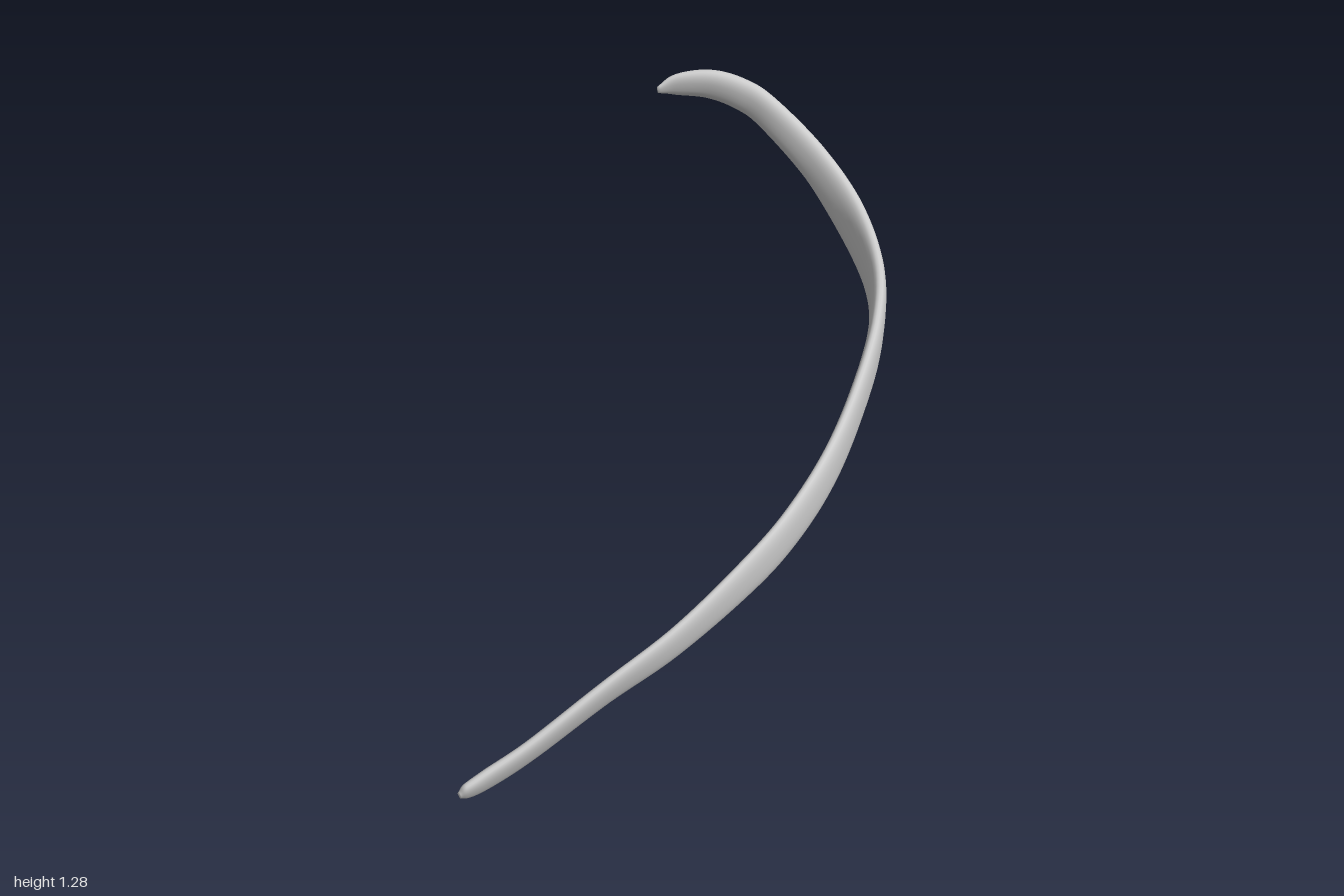
import * as THREE from 'three';

// Stations along the bone: x, y, z, blade width, thickness, outward lean of the upper edge
const STATIONS = [
  [-0.688, 1.225, -0.712, 0.024, 0.012, -0.3],
  [-0.662, 1.237, -0.77, 0.078, 0.036, -0.3],
  [-0.59, 1.24, -0.85, 0.102, 0.056, -0.25],
  [-0.5, 1.218, -0.905, 0.108, 0.062, -0.1],
  [-0.4, 1.173, -0.936, 0.112, 0.06, 0],
  [-0.2, 1.043, -0.966, 0.125, 0.058, 0.1],
  [0, 0.91, -0.938, 0.153, 0.054, 0.1],
  [0.2, 0.82, -0.825, 0.152, 0.05, 0.05],
  [0.37, 0.755, -0.64, 0.15, 0.046, 0],
  [0.51, 0.672, -0.41, 0.148, 0.044, 0],
  [0.605, 0.587, -0.2, 0.146, 0.042, 0],
  [0.655, 0.503, 0, 0.142, 0.04, 0.05],
  [0.664, 0.425, 0.18, 0.133, 0.038, 0.12],
  [0.645, 0.325, 0.4, 0.12, 0.036, 0.25],
  [0.595, 0.23, 0.6, 0.112, 0.036, 0.4],
  [0.54, 0.118, 0.8, 0.104, 0.036, 0.45],
  [0.503, 0.062, 0.92, 0.098, 0.036, 0.45],
  [0.49, 0.046, 0.975, 0.075, 0.03, 0.45],
  [0.486, 0.04, 0.998, 0.024, 0.014, 0.45],
];
const RINGS = 144, SIDES = 24;

function createRibGeometry() {
  const path = new THREE.CatmullRomCurve3(
    STATIONS.map(s => new THREE.Vector3(s[0], s[1], s[2])), false, 'catmullrom', 0.5);
  const section = new THREE.CatmullRomCurve3(
    STATIONS.map(s => new THREE.Vector3(s[3], s[4], s[5])), false, 'catmullrom', 0.5);
  const positions = [], index = [];
  const yAxis = new THREE.Vector3(0, 1, 0);

  // Flattened oval rings, a little fuller than an ellipse
  const round = v => Math.sign(v) * Math.abs(v) ** 0.85;
  for (let i = 0; i <= RINGS; i++) {
    const u = i / RINGS;
    const centre = path.getPoint(u);
    const tangent = path.getTangent(u);
    const { x: width, y: thick, z: lean } = section.getPoint(u);
    const side = yAxis.clone().cross(tangent).normalize();
    const up = tangent.clone().cross(side).applyAxisAngle(tangent, -lean);
    side.applyAxisAngle(tangent, -lean);
    for (let j = 0; j < SIDES; j++) {
      const a = j / SIDES * Math.PI * 2;
      const p = centre.clone()
        .addScaledVector(side, round(Math.cos(a)) * thick / 2)
        .addScaledVector(up, round(Math.sin(a)) * width / 2);
      positions.push(p.x, p.y, p.z);
    }
  }
  for (let i = 0; i < RINGS; i++) {
    for (let j = 0; j < SIDES; j++) {
      const a = i * SIDES + j, b = i * SIDES + (j + 1) % SIDES;
      index.push(a, b, a + SIDES, b, b + SIDES, a + SIDES);
    }
  }

  // Close both tips
  const start = positions.length / 3, end = start + 1, last = RINGS * SIDES;
  positions.push(...path.getPoint(0).toArray(), ...path.getPoint(1).toArray());
  for (let j = 0; j < SIDES; j++) {
    const k = (j + 1) % SIDES;
    index.push(start, k, j, end, last + j, last + k);
  }

  const geometry = new THREE.BufferGeometry();
  geometry.setAttribute('position', new THREE.Float32BufferAttribute(positions, 3));
  geometry.setIndex(index);
  geometry.computeVertexNormals();
  return geometry;
}

export function createModel() {
  const group = new THREE.Group();
  group.name = 'ribBone';
  const rib = new THREE.Mesh(createRibGeometry(), new THREE.MeshStandardMaterial({ color: 0xcccccc }));
  rib.name = 'rib';
  group.add(rib);
  return group;
}
